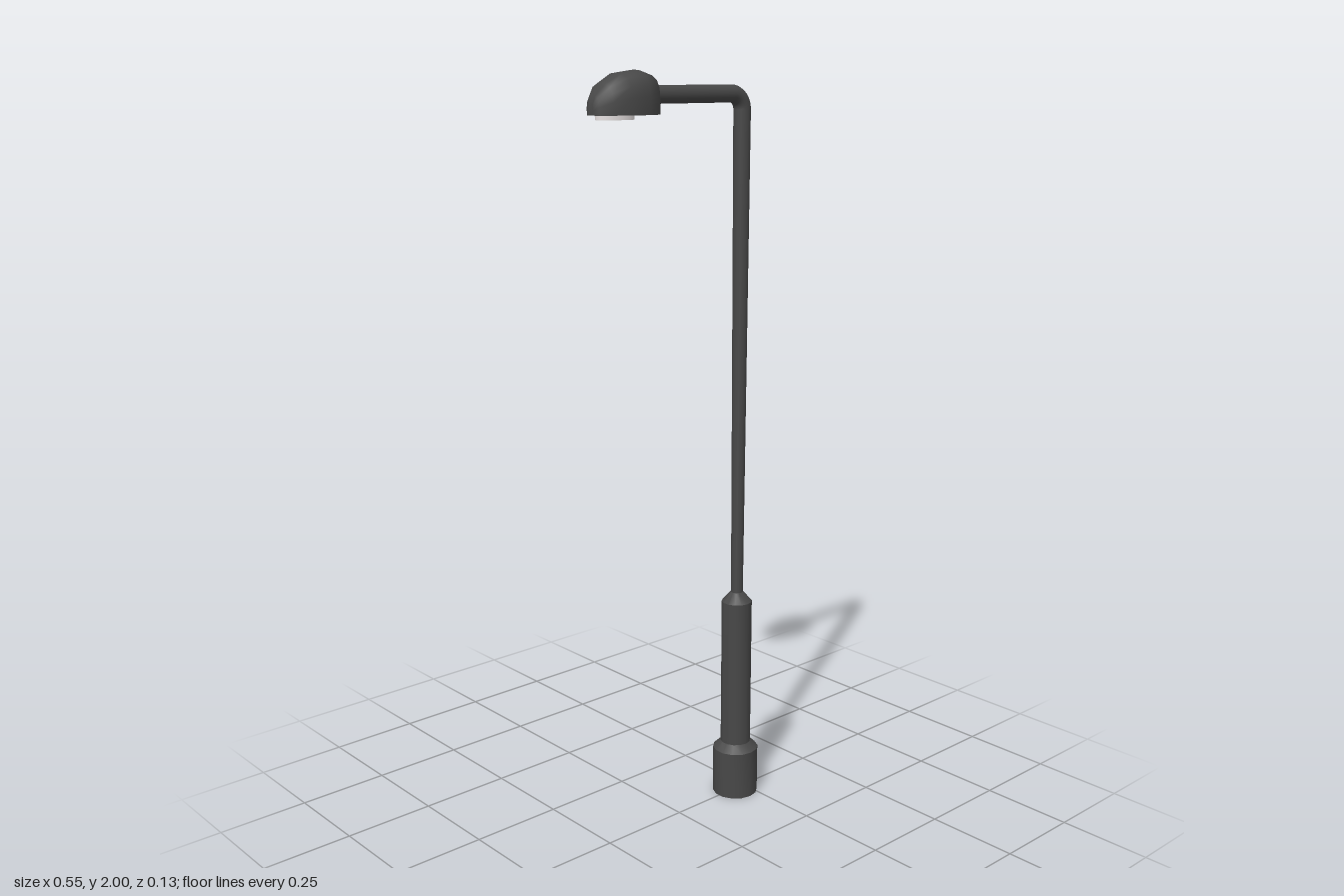
import * as THREE from 'three';
import { toCreasedNormals } from 'three/addons/utils/BufferGeometryUtils.js';

const POST_X = 0.215, ARM_Y = 1.942, ARM_R = 0.0225;

// Turned base: foot, sleeve and collars, as one stepped profile
function baseGeometry() {
  const profile = [
    [0, 0], [0.0635, 0], [0.0635, 0.135], [0.042, 0.155],
    [0.042, 0.575], [0.018, 0.602], [0, 0.602],
  ].map(([r, y]) => new THREE.Vector2(r, y));
  return toCreasedNormals(new THREE.LatheGeometry(profile, 14), 0.5);
}

// Elbow and horizontal arm swept along one path
function armGeometry() {
  const bend = 0.04;
  const v = (x, y) => new THREE.Vector3(x, y, 0);
  const path = new THREE.CurvePath();
  const k = bend * 0.45;
  path.add(new THREE.CubicBezierCurve3(
    v(POST_X, ARM_Y - bend), v(POST_X, ARM_Y - k),
    v(POST_X - k, ARM_Y), v(POST_X - bend, ARM_Y)));
  path.add(new THREE.LineCurve3(v(POST_X - bend, ARM_Y), v(-0.11, ARM_Y)));
  return new THREE.TubeGeometry(path, 48, ARM_R, 14, false);
}

// Lamp hood: domed cross-sections lofted along x over a flat underside
function hoodGeometry() {
  const bottom = 1.896;
  // x, half width, top height
  const stations = [
    [-0.278, 0.008, 1.922], [-0.271, 0.023, 1.941], [-0.245, 0.045, 1.970],
    [-0.200, 0.0595, 1.993], [-0.145, 0.062, 2.0], [-0.101, 0.045, 1.988],
    [-0.087, 0.026, 1.968],
  ];
  const half = [[1, 0], [1, 0.4], [0.93, 0.67], [0.72, 0.87], [0.36, 0.98]];
  const section = [...half, [0, 1], ...half.map(([z, y]) => [-z, y]).reverse()];
  const rings = stations.map(([x, w, top]) =>
    section.map(([z, y]) => [x, bottom + y * (top - bottom), z * w]));
  const n = section.length, pos = [];
  const tri = (...pts) => pts.forEach((p) => pos.push(...p));
  for (let i = 0; i < rings.length - 1; i++) {
    const a = rings[i], b = rings[i + 1];
    for (let j = 0; j < n; j++) {
      const k = (j + 1) % n;
      tri(a[j], b[j], b[k]);
      tri(a[j], b[k], a[k]);
    }
  }
  // End caps
  const first = rings[0], last = rings[rings.length - 1];
  for (let j = 1; j < n - 1; j++) {
    tri(first[0], first[j], first[j + 1]);
    tri(last[0], last[j + 1], last[j]);
  }
  const g = new THREE.BufferGeometry();
  g.setAttribute('position', new THREE.Float32BufferAttribute(pos, 3));
  return toCreasedNormals(g, 0.9);
}

export function createModel() {
  const model = new THREE.Group();
  model.name = 'streetLamp';
  const metal = new THREE.MeshStandardMaterial({ color: 0x484848 });
  metal.name = 'dark grey metal';
  const glass = new THREE.MeshStandardMaterial({ color: 0xe8e2e2 });
  glass.name = 'pale lens';

  const add = (name, geometry, material, x = 0, y = 0) => {
    const mesh = new THREE.Mesh(geometry, material);
    mesh.name = name;
    mesh.position.set(x, y, 0);
    model.add(mesh);
    return mesh;
  };

  add('base', baseGeometry(), metal, POST_X);

  // Slim pole, slightly wider towards the top
  const poleBottom = 0.6, poleTop = ARM_Y - 0.04;
  add('pole', new THREE.CylinderGeometry(ARM_R, 0.0165, poleTop - poleBottom, 14, 1, true),
    metal, POST_X, (poleBottom + poleTop) / 2);

  add('arm', armGeometry(), metal);
  add('lampHood', hoodGeometry(), metal);

  // Oval lens below the hood
  const lens = add('lens', new THREE.CylinderGeometry(1, 1, 0.014, 20), glass, -0.205, 1.892);
  lens.scale.set(0.055, 1, 0.034);
  return model;
}
